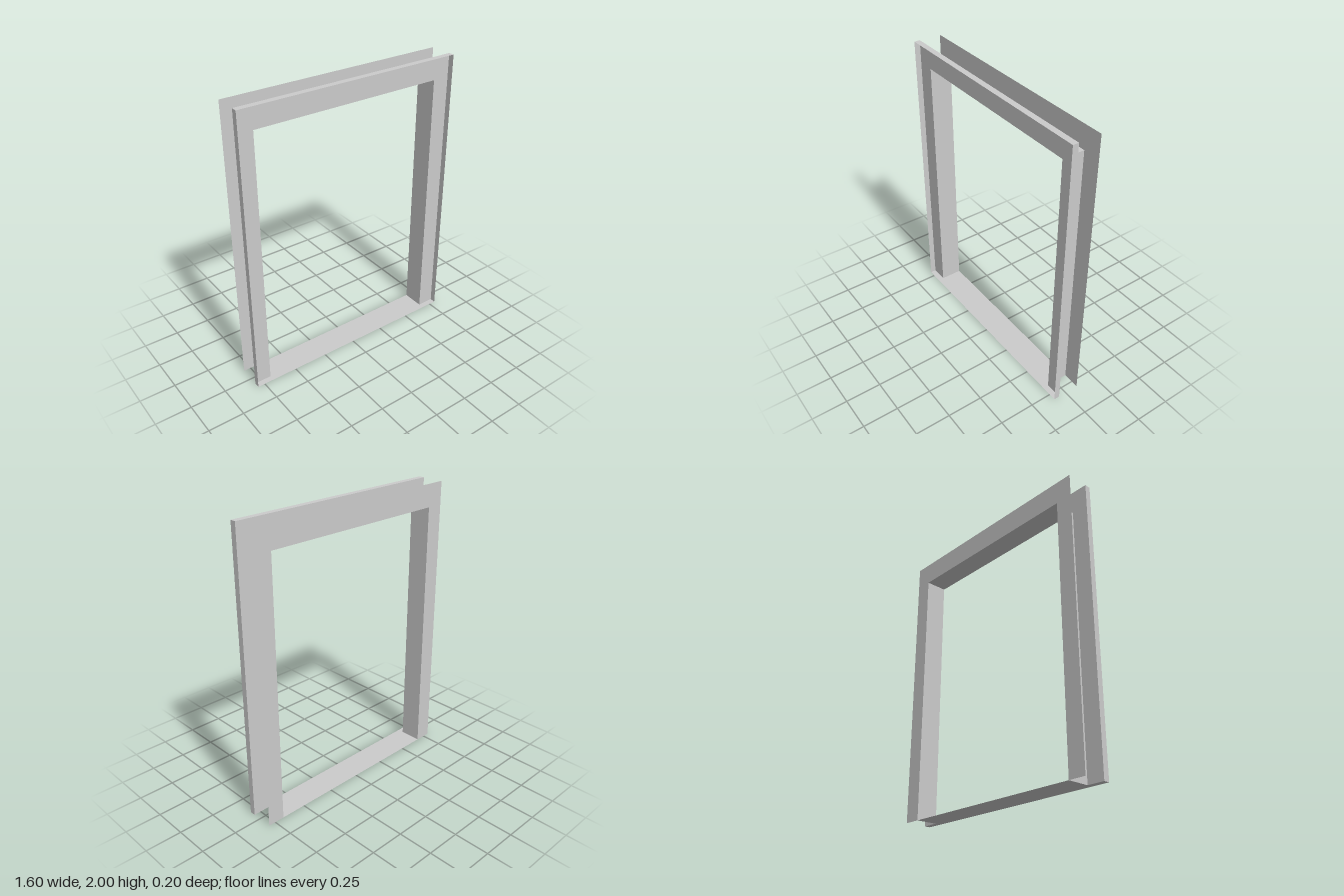
import * as THREE from 'three';

const W = 0.8, H = 2;             // outer half width and height
const w = 0.68, h = 1.84;         // opening half width and height
const FRONT = 0.098, STEP = 0.057, BACK = -0.098;

export function createModel() {
  const group = new THREE.Group();
  const material = new THREE.MeshStandardMaterial({ color: 0xcccccc, side: THREE.DoubleSide, flatShading: true });

  const add = (name, geometry) => {
    const mesh = new THREE.Mesh(geometry, material);
    mesh.name = name;
    group.add(mesh);
    return mesh;
  };

  // Flat three-sided casing surrounding the opening
  const casing = (name, z, facing) => {
    const shape = new THREE.Shape([
      [-W, 0], [-w, 0], [-w, h], [w, h], [w, 0], [W, 0], [W, H], [-W, H],
    ].map(([x, y]) => new THREE.Vector2(x, y)));
    const mesh = add(name, new THREE.ShapeGeometry(shape));
    mesh.rotation.y = facing > 0 ? 0 : Math.PI;
    mesh.position.z = z;
  };

  // Thin horizontal sheet spanning z0..z1; up is +1 or -1
  const level = (name, halfWidth, y, z0, z1, up) => {
    const mesh = add(name, new THREE.PlaneGeometry(2 * halfWidth, z1 - z0));
    mesh.rotation.x = -up * Math.PI / 2;
    mesh.position.set(0, y, (z0 + z1) / 2);
  };

  // Thin upright sheet spanning z0..z1; facing is the sign of its normal in x
  const upright = (name, x, height, z0, z1, facing) => {
    const mesh = add(name, new THREE.PlaneGeometry(z1 - z0, height));
    mesh.rotation.y = facing * Math.PI / 2;
    mesh.position.set(x, height / 2, (z0 + z1) / 2);
  };

  casing('frontCasing', STEP, 1);
  casing('backCasing', BACK, -1);

  // Lining of the opening and the raised rim, open at the front
  for (const [side, s] of [['left', 1], ['right', -1]]) {
    upright(side + 'Jamb', s * w, h, BACK, STEP, -s);
    upright(side + 'Rim', s * W, H, STEP, FRONT, s);
  }
  level('headLining', w, h, BACK, STEP, -1);
  level('topRim', W, H, STEP, FRONT, 1);

  // Threshold, wider where it meets the rim
  level('threshold', w, 0, BACK, STEP, 1);
  level('bottomRim', W, 0, STEP, FRONT, 1);

  return group;
}
